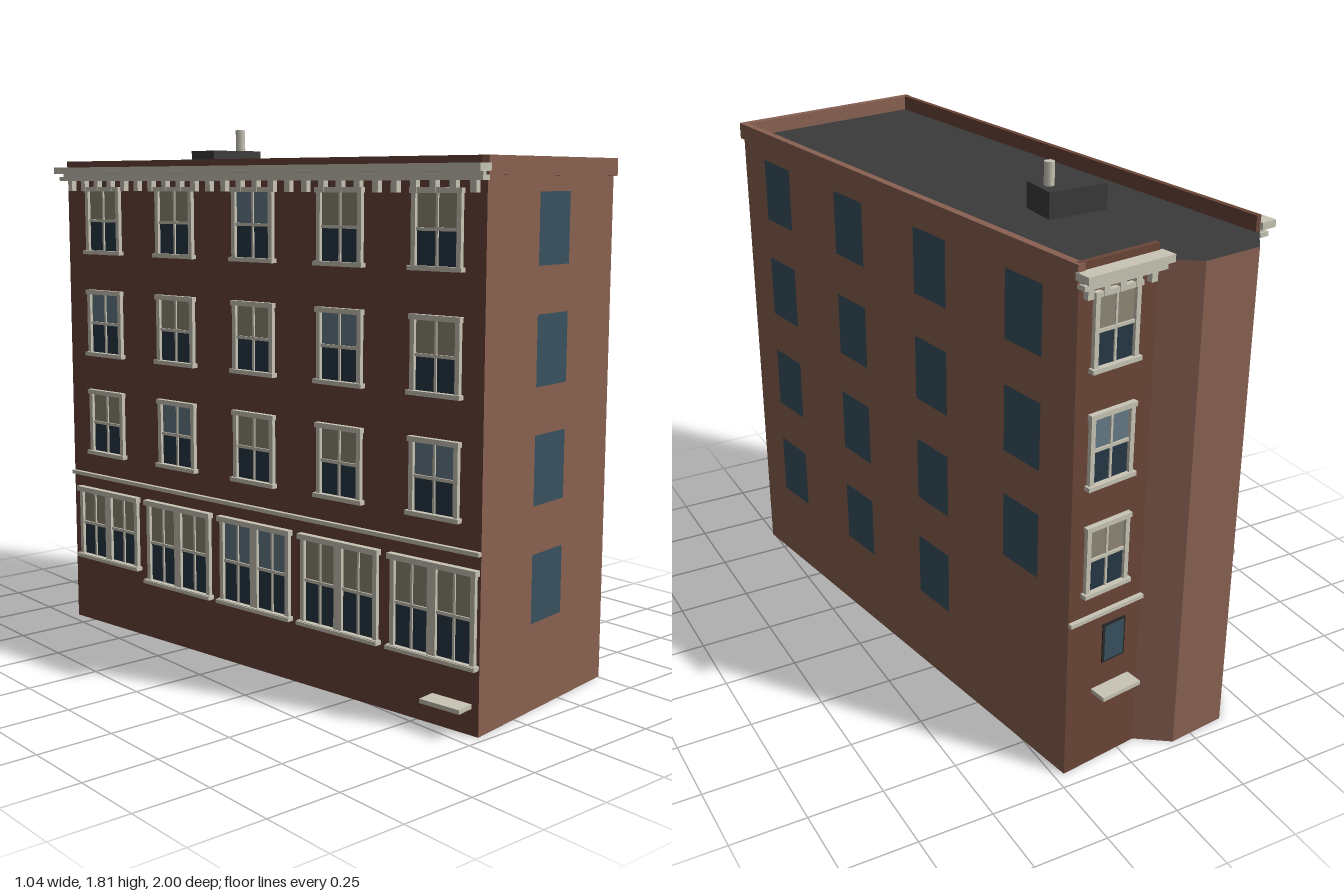
import * as THREE from 'three';

const mat = (name, color, side = THREE.FrontSide) => {
  const m = new THREE.MeshStandardMaterial({ color, side });
  m.name = name;
  return m;
};

export function createModel() {
  const model = new THREE.Group();
  model.name = 'apartmentBlock';
  const brick = mat('side brick', 0x8a6252);
  const facade = mat('facade brick', 0x6b4538);
  const roofMat = mat('roof tar', 0x3b3b3b);
  const trim = mat('stone trim', 0xc9c5b6);
  const slate = mat('plain window', 0x38525f);
  const darkGlass = mat('dark glass', 0x263846);
  const skyGlass = mat('pale glass', 0x667a88);
  const blind = mat('window blind', 0x8e8876);
  const iron = mat('dark frame', 0x2a2a2a);

  const ROOF = 1.65, TOP = 1.70;
  // Footprint corners as [x, z]
  const FL = [-0.187, 0.975], FR = [0.506, 0.865], BR = [0.217, -0.945];
  const N = [-0.068, -0.903], B1 = [-0.175, -0.978], B2 = [-0.38, -0.952], BL = [-0.463, -0.843];
  const outline = [FL, FR, BR, N, B1, B2, BL];

  const add = (parent, name, geo, material, x = 0, y = 0, z = 0) => {
    const m = new THREE.Mesh(geo, material);
    m.name = name;
    m.position.set(x, y, z);
    parent.add(m);
    return m;
  };
  // Box given by its ranges along the wall, up and outward
  const box = (g, name, material, x0, x1, y0, y1, z0, z1) =>
    add(g, name, new THREE.BoxGeometry(x1 - x0, y1 - y0, z1 - z0), material,
      (x0 + x1) / 2, (y0 + y1) / 2, (z0 + z1) / 2);
  const pane = (g, name, material, x0, x1, y0, y1, z) =>
    add(g, name, new THREE.PlaneGeometry(x1 - x0, y1 - y0), material, (x0 + x1) / 2, (y0 + y1) / 2, z);

  // Wall frame: x runs along the wall seen from outside, z points outward
  const wall = (name, a, b, material) => {
    const g = new THREE.Group();
    g.name = name;
    const dx = b[0] - a[0], dz = b[1] - a[1];
    g.position.set(a[0], 0, a[1]);
    g.rotation.y = Math.atan2(-dz, dx);
    g.userData.length = Math.hypot(dx, dz);
    pane(g, name + 'Face', material, 0, g.userData.length, 0, ROOF, 0);
    model.add(g);
    return g;
  };
  const front = wall('frontWall', FL, FR, brick);
  const right = wall('rightWall', FR, BR, brick);
  const back = wall('backFacade', BR, N, facade);
  const left = wall('leftFacade', BL, FL, facade);
  wall('bayRight', N, B1, brick);
  wall('bayMiddle', B1, B2, brick);
  wall('bayLeft', B2, BL, brick);

  // Roof deck and underside
  const slab = (name, sign, y) => {
    const s = new THREE.Shape(outline.map(([x, z]) => new THREE.Vector2(x, sign * z)));
    add(model, name, new THREE.ShapeGeometry(s).rotateX(sign * Math.PI / 2), roofMat, 0, y, 0);
  };
  slab('roofDeck', -1, ROOF);
  slab('underside', 1, 0);

  // Parapets
  for (const g of [front, right])
    box(g, 'parapet', brick, -0.008, g.userData.length + 0.008, ROOF - 0.005, TOP, -0.015, 0.01);
  for (const g of [back, left])
    box(g, 'parapet', facade, 0, g.userData.length, ROOF - 0.005, TOP, -0.015, 0.003);

  // Roof hut and vent pipe
  box(model, 'roofHut', roofMat, -0.18, 0.025, ROOF, 1.735, -0.465, -0.33);
  add(model, 'ventPipe', new THREE.CylinderGeometry(0.017, 0.017, 0.1, 8), trim, -0.012, 1.76, -0.4);

  // Plain windows on the two side walls
  const rows = [0.283, 0.652, 1.017, 1.38];
  rows.forEach((y, r) => {
    pane(front, 'plainWindow', slate, 0.27, 0.44, y, y + 0.218, 0.003);
    for (let i = 0; i < (r === 0 ? 3 : 4); i++) {
      const c = right.userData.length * (i + 0.5) / 4;
      pane(right, 'plainWindow', slate, c - 0.084, c + 0.084, y, y + 0.218, 0.003);
    }
  });

  // Framed double-hung window with sill and lintel
  const sash = (g, name, cx, y0, y1, w, upper) => {
    const h = w / 2, f = 0.016, mid = (y0 + y1) / 2;
    const win = new THREE.Group();
    win.name = name;
    win.position.x = cx;
    g.add(win);
    pane(win, 'lowerGlass', darkGlass, -h, h, y0, mid, 0.003);
    pane(win, 'upperGlass', upper, -h, h, mid, y1, 0.003);
    for (const s of [-1, 1]) {
      const x = s * (h - f / 2);
      box(win, 'jamb', trim, x - f / 2, x + f / 2, y0, y1, 0, 0.014);
    }
    box(win, 'meetingRail', trim, -h, h, mid - 0.005, mid + 0.005, 0, 0.009);
    box(win, 'mullion', trim, -0.004, 0.004, y0, y1, 0, 0.008);
    box(win, 'sill', trim, -h - 0.008, h + 0.008, y0, y0 + 0.014, 0, 0.022);
    box(win, 'lintel', trim, -h - 0.004, h + 0.004, y1 - 0.016, y1, 0, 0.018);
  };
  const floors = [0.638, 1.002, 1.37];
  const L = left.userData.length;
  floors.forEach((y, r) => {
    for (let i = 0; i < 5; i++)
      sash(left, 'upperWindow', L * (0.108 + i * 0.2), y, y + 0.24, 0.18, (i + r) % 3 === 1 ? skyGlass : blind);
    sash(back, 'backWindow', 0.135, y, y + 0.24, 0.165, r === 1 ? skyGlass : blind);
  });

  // Wide ground-floor windows, the rear one with a higher sill
  for (let i = 0; i < 5; i++) {
    const c = L * (0.108 + i * 0.2), y0 = i === 0 ? 0.24 : 0.205;
    const upper = i === 2 ? skyGlass : blind;
    for (const s of [-1, 1]) sash(left, 'groundWindow', c + s * 0.079, y0, 0.505, 0.158, upper);
    box(left, 'groundSill', trim, c - 0.167, c + 0.167, y0, y0 + 0.012, 0, 0.026);
    box(left, 'groundHead', trim, c - 0.165, c + 0.165, 0.49, 0.508, 0, 0.022);
  }

  // Belt course, cornice and brackets on both decorated facades
  for (const [g, count] of [[left, 26], [back, 5]]) {
    const len = g.userData.length;
    box(g, 'beltCourse', trim, 0, len, 0.55, 0.563, 0, 0.015);
    box(g, 'corniceTop', trim, -0.012, len + 0.012, 1.655, 1.678, 0, 0.055);
    box(g, 'corniceLower', trim, -0.006, len + 0.006, 1.63, 1.645, 0, 0.034);
    box(g, 'corniceCore', trim, 0, len, 1.64, 1.66, 0, 0.022);
    for (let i = 0; i < count; i++) {
      const x = len * (i + 0.5) / count;
      box(g, 'bracket', trim, x - 0.011, x + 0.011, 1.595, 1.632, 0, 0.02);
    }
  }

  // Small back window and ledges
  box(back, 'smallWindowFrame', iron, 0.137, 0.227, 0.365, 0.505, 0, 0.004);
  pane(back, 'smallWindow', slate, 0.144, 0.22, 0.372, 0.498, 0.006);
  box(back, 'backLedge', trim, 0.1, 0.25, 0.268, 0.282, 0, 0.06);
  box(left, 'entryLedge', trim, L - 0.17, L - 0.025, 0.083, 0.097, 0, 0.065);
  return model;
}
